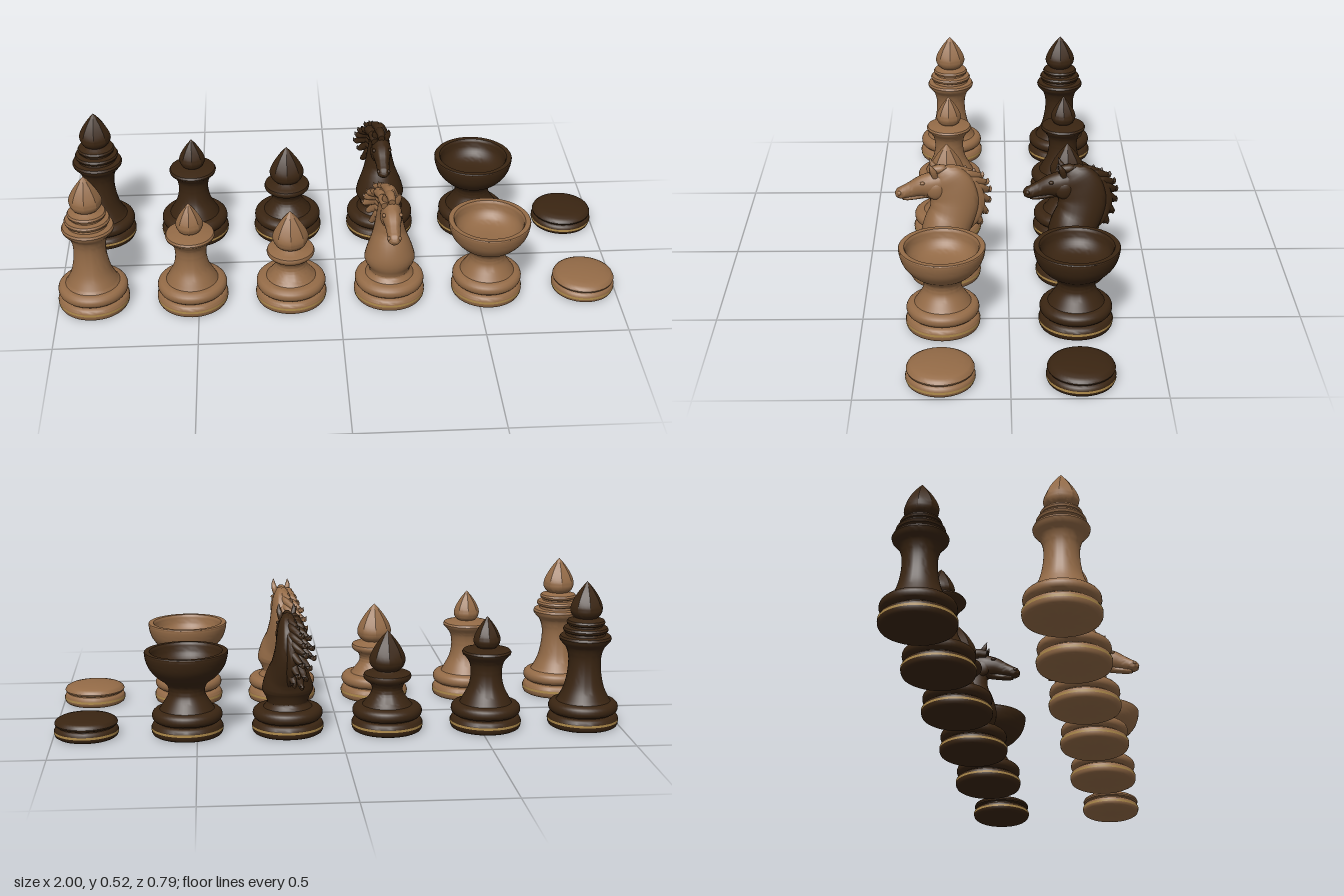
import * as THREE from 'three';
import { toCreasedNormals } from 'three/addons/utils/BufferGeometryUtils.js';

const lightWood = new THREE.MeshStandardMaterial({ color: 0x946b47 });
const darkWood = new THREE.MeshStandardMaterial({ color: 0x3a2512 });
const brass = new THREE.MeshStandardMaterial({ color: 0xb08c4c, side: THREE.DoubleSide });
lightWood.name = 'lightWood';
darkWood.name = 'darkWood';
brass.name = 'brass';

const vec2 = (pts) => pts.map(([r, y]) => new THREE.Vector2(r, y));
const smooth = (pts, n = 24) => new THREE.SplineCurve(vec2(pts)).getPoints(n);

function add(parent, geo, mat, name) {
  const mesh = new THREE.Mesh(geo, mat);
  mesh.name = name;
  parent.add(mesh);
  return mesh;
}

function turned(points, segments = 48) {
  return toCreasedNormals(new THREE.LatheGeometry(points, segments), 0.7);
}

// Two stacked rounded rings with a brass band
function addBase(g, mat) {
  add(g, turned(vec2([
    [0, 0], [0.114, 0], [0.121, 0.004], [0.125, 0.012], [0.126, 0.022], [0.125, 0.032],
    [0.121, 0.04], [0.113, 0.045], [0.105, 0.047], [0.105, 0.05], [0.114, 0.052],
    [0.12, 0.058], [0.123, 0.066], [0.123, 0.075], [0.12, 0.083], [0.113, 0.09], [0.1, 0.093], [0, 0.094],
  ])), mat, 'base');
  addBand(g, 0.1265, 0.025);
}

function addBand(g, r, y) {
  const band = add(g, new THREE.CylinderGeometry(r, r, 0.008, 48, 1, true), brass, 'brassBand');
  band.position.y = y;
}

// Onion-shaped bud: round below, eight-sided towards the point
function addBud(g, mat, y, h, r) {
  const pts = smooth([[0.55, 0], [0.86, 0.1], [1, 0.25], [0.93, 0.42], [0.68, 0.63], [0.35, 0.83], [0.001, 1]], 18)
    .map((p) => new THREE.Vector2(p.x * r, y + p.y * h));
  const geo = new THREE.LatheGeometry(pts, 48);
  const pos = geo.attributes.position;
  const step = Math.PI / 4;
  for (let i = 0; i < pos.count; i++) {
    const a = Math.atan2(pos.getX(i), pos.getZ(i)) + Math.PI * 2;
    const t = Math.min(1, Math.max(0, (pos.getY(i) - y) / h * 2));
    const k = 1 + t * (Math.cos(step / 2) / Math.cos((a % step) - step / 2) - 1);
    pos.setX(i, pos.getX(i) * k);
    pos.setZ(i, pos.getZ(i) * k);
  }
  add(g, toCreasedNormals(geo, 0.4), mat, 'bud');
}

// Elliptical sections [x, y, z, halfWidth, halfDepth] swept along a path in y and z
function loft(sections, steps = 24, sides = 20) {
  const path = new THREE.CatmullRomCurve3(sections.map((s) => new THREE.Vector3(s[0], s[1], s[2])));
  const size = new THREE.CatmullRomCurve3(sections.map((s) => new THREE.Vector3(s[3], s[4], 0)));
  const pos = [], idx = [];
  for (let i = 0; i <= steps; i++) {
    const c = path.getPoint(i / steps), s = size.getPoint(i / steps), t = path.getTangent(i / steps);
    const l = Math.hypot(t.y, t.z) || 1;
    for (let j = 0; j < sides; j++) {
      const a = j / sides * Math.PI * 2, u = Math.cos(a) * s.x, v = Math.sin(a) * s.y;
      pos.push(c.x + u, c.y + v * t.z / l, c.z - v * t.y / l);
    }
  }
  for (let i = 0; i < steps; i++) {
    for (let j = 0; j < sides; j++) {
      const a = i * sides + j, b = i * sides + (j + 1) % sides;
      idx.push(a, b, a + sides, b, b + sides, a + sides);
    }
  }
  const last = steps * sides;
  for (let j = 1; j < sides - 1; j++) {
    idx.push(0, j + 1, j, last, last + j, last + j + 1);
  }
  const geo = new THREE.BufferGeometry();
  geo.setAttribute('position', new THREE.Float32BufferAttribute(pos, 3));
  geo.setIndex(idx);
  return toCreasedNormals(geo, 0.9);
}

function king(g, mat) {
  addBase(g, mat);
  add(g, turned([
    ...smooth([[0.096, 0.093], [0.088, 0.105], [0.07, 0.145], [0.059, 0.2], [0.058, 0.25], [0.068, 0.285], [0.082, 0.302]]),
    ...vec2([[0.09, 0.312], [0.092, 0.32], [0.088, 0.328], [0.07, 0.331], [0.068, 0.339], [0.077, 0.343],
      [0.08, 0.351], [0.076, 0.358], [0.058, 0.361], [0.057, 0.366], [0.066, 0.37], [0.068, 0.377],
      [0.064, 0.384], [0.045, 0.388], [0.035, 0.396], [0, 0.397]]),
  ]), mat, 'stem');
  addBud(g, mat, 0.388, 0.134, 0.058);
}

function queen(g, mat) {
  addBase(g, mat);
  add(g, turned([
    ...smooth([[0.092, 0.093], [0.083, 0.11], [0.063, 0.15], [0.055, 0.195], [0.06, 0.235], [0.076, 0.26]]),
    ...vec2([[0.085, 0.268], [0.087, 0.275], [0.083, 0.282], [0.065, 0.287], [0.04, 0.291], [0, 0.294]]),
  ]), mat, 'stem');
  addBud(g, mat, 0.287, 0.115, 0.048);
}

function pawn(g, mat) {
  addBase(g, mat);
  add(g, turned([
    ...smooth([[0.088, 0.093], [0.078, 0.105], [0.06, 0.13], [0.054, 0.15], [0.062, 0.17], [0.076, 0.18]]),
    ...vec2([[0.083, 0.188], [0.085, 0.196], [0.082, 0.204], [0.07, 0.209], [0.045, 0.213], [0.035, 0.222], [0, 0.223]]),
  ]), mat, 'stem');
  addBud(g, mat, 0.213, 0.145, 0.064);
}

function rook(g, mat) {
  addBase(g, mat);
  add(g, turned([
    ...smooth([[0.096, 0.093], [0.085, 0.11], [0.067, 0.14], [0.064, 0.165], [0.075, 0.187], [0.105, 0.21], [0.13, 0.24], [0.142, 0.27], [0.146, 0.296]], 30),
    ...vec2([[0.144, 0.299], [0.127, 0.299]]),
    ...smooth([[0.123, 0.294], [0.115, 0.262], [0.09, 0.236], [0.05, 0.224], [0, 0.222]], 16),
  ]), mat, 'bowl');
}

function disc(g, mat) {
  add(g, turned(vec2([
    [0, 0], [0.102, 0], [0.109, 0.005], [0.112, 0.014], [0.112, 0.025], [0.108, 0.034], [0.1, 0.038],
    [0.1, 0.041], [0.108, 0.044], [0.11, 0.05], [0.106, 0.058], [0.096, 0.064], [0.075, 0.069], [0.04, 0.073], [0, 0.074],
  ])), mat, 'disc');
  addBand(g, 0.1128, 0.02);
}

function knight(g, mat) {
  addBase(g, mat);
  add(g, turned(smooth([[0.086, 0.093], [0.08, 0.1], [0.071, 0.112], [0.071, 0.125]], 8)), mat, 'collar');
  add(g, loft([
    [0, 0.095, 0, 0.068, 0.068], [0, 0.125, 0, 0.075, 0.074], [0, 0.16, 0, 0.09, 0.085],
    [0, 0.2, -0.008, 0.08, 0.084], [0, 0.25, -0.028, 0.058, 0.083], [0, 0.3, -0.036, 0.046, 0.086],
    [0, 0.345, -0.026, 0.039, 0.083], [0, 0.385, -0.006, 0.032, 0.066], [0, 0.412, 0.012, 0.018, 0.035],
  ], 30, 28), mat, 'neck');
  add(g, loft([
    [0, 0.368, -0.025, 0.022, 0.025], [0, 0.364, 0.005, 0.032, 0.042], [0, 0.358, 0.04, 0.036, 0.048],
    [0, 0.354, 0.075, 0.032, 0.039], [0, 0.342, 0.11, 0.025, 0.029], [0, 0.331, 0.14, 0.023, 0.023],
    [0, 0.325, 0.158, 0.022, 0.02], [0, 0.321, 0.17, 0.012, 0.01],
  ], 28), mat, 'head');
  add(g, loft([
    [0, 0.325, 0.05, 0.018, 0.014], [0, 0.315, 0.09, 0.015, 0.011], [0, 0.308, 0.13, 0.014, 0.009], [0, 0.306, 0.148, 0.008, 0.005],
  ], 12, 14), mat, 'jaw');

  // Mirrored features of the head
  for (const s of [-1, 1]) {
    const ball = (name, x, y, z, sx, sy, sz) => {
      const m = add(g, new THREE.SphereGeometry(1, 14, 10), mat, name);
      m.position.set(x * s, y, z);
      m.scale.set(sx, sy, sz);
    };
    ball('cheek', 0.024, 0.345, 0.03, 0.015, 0.034, 0.032);
    ball('eye', 0.029, 0.376, 0.075, 0.007, 0.006, 0.009);
    ball('nostril', 0.017, 0.333, 0.157, 0.008, 0.008, 0.008);
    add(g, loft([
      [0.018 * s, 0.392, 0.03, 0.009, 0.01], [0.022 * s, 0.412, 0.035, 0.011, 0.012],
      [0.026 * s, 0.43, 0.043, 0.008, 0.008], [0.026 * s, 0.449, 0.05, 0.001, 0.001],
    ], 10, 10), mat, 'ear');
  }

  // Mane locks sweeping back and to one side: [y, z, length, drop, swing]
  const locks = [
    [0.41, 0.03, 0.06, -0.004, -0.01], [0.408, 0.0, 0.075, 0.0, -0.025], [0.402, -0.025, 0.08, 0.01, -0.035],
    [0.385, -0.05, 0.085, 0.013, -0.05], [0.36, -0.075, 0.078, 0.018, -0.06], [0.335, -0.09, 0.072, 0.025, -0.065],
    [0.305, -0.1, 0.06, 0.03, -0.05], [0.275, -0.095, 0.055, 0.04, -0.035], [0.245, -0.085, 0.045, 0.045, -0.02],
  ];
  locks.forEach(([y, z, len, drop, swing]) => {
    for (const side of [0, 1]) {
      const x = side ? -0.026 : 0, k = side ? 0.75 : 1, low = side * 0.012;
      add(g, loft([
        [x, y - low, z + 0.02, 0.012, 0.014], [x + swing * 0.2, y + 0.006 - low, z - len * k * 0.3, 0.017, 0.018],
        [x + swing * 0.55, y - drop * 0.5 - low, z - len * k * 0.7, 0.014, 0.015],
        [x + swing * 0.9, y - drop - low, z - len * k * 0.97, 0.008, 0.01],
        [x + swing, y - drop + 0.012 - low, z - len * k, 0.001, 0.002],
      ], 12, 10), mat, 'maneLock');
    }
  });
  add(g, loft([
    [0, 0.415, 0.04, 0.006, 0.006], [0, 0.408, -0.02, 0.016, 0.014], [-0.008, 0.365, -0.09, 0.018, 0.02],
    [-0.012, 0.3, -0.122, 0.018, 0.022], [-0.008, 0.235, -0.108, 0.016, 0.022], [0, 0.175, -0.07, 0.006, 0.008],
  ], 24, 14), mat, 'maneCrest');
}

export function createModel() {
  const root = new THREE.Group();
  root.name = 'chessSet';
  const pieces = { king, queen, pawn, knight, rook, disc };
  // One light row in front and one dark row behind
  for (const [tone, mat, z] of [['light', lightWood, 0.224], ['dark', darkWood, -0.226]]) {
    Object.entries(pieces).forEach(([name, build], i) => {
      const g = new THREE.Group();
      g.name = `${tone} ${name}`;
      build(g, mat);
      g.position.set(-0.874 + i * 0.352, 0, z);
      root.add(g);
    });
  }
  return root;
}
